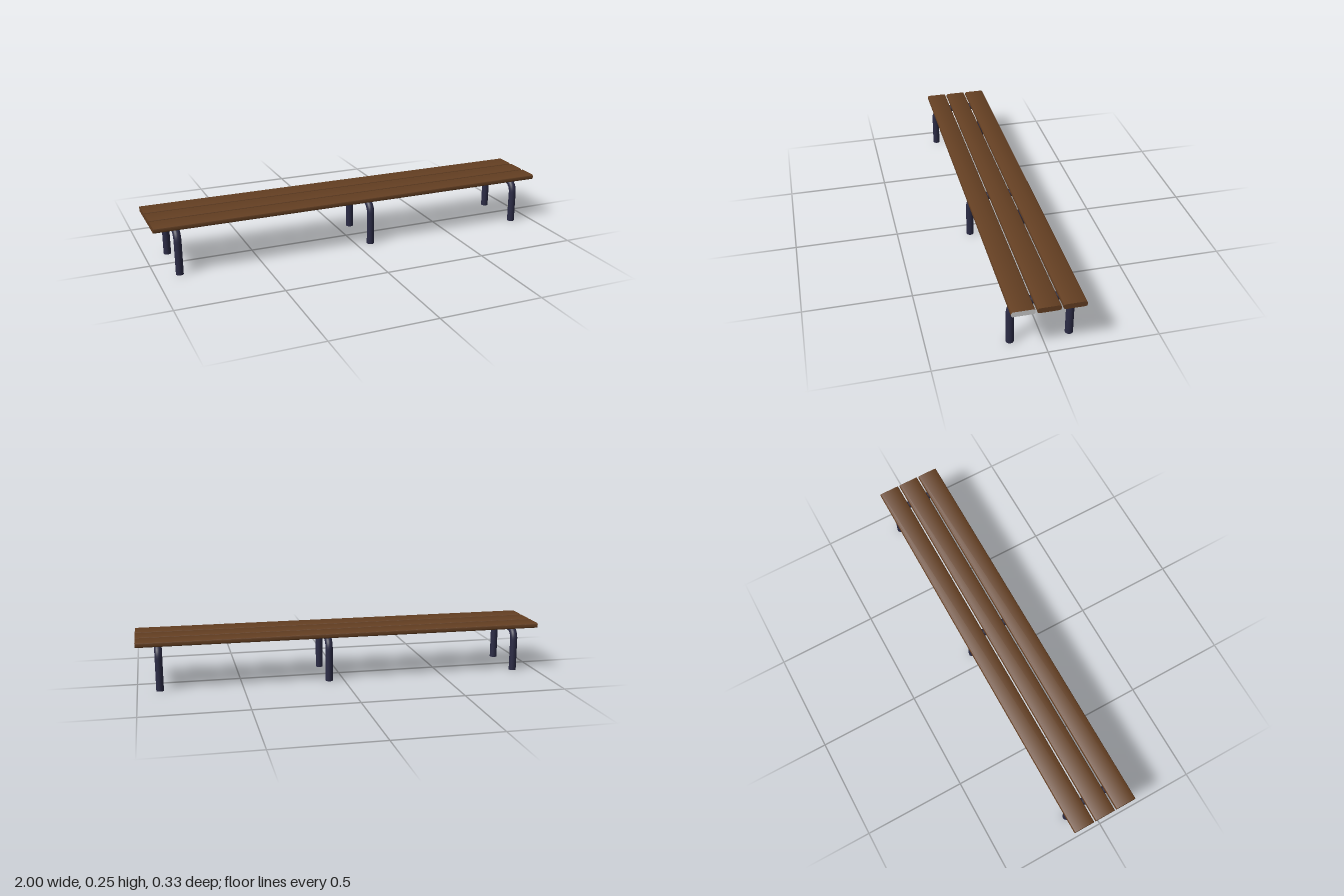
import * as THREE from 'three';
import { toCreasedNormals } from 'three/addons/utils/BufferGeometryUtils.js';

const wood = new THREE.MeshStandardMaterial({ color: 0x643f22 });
const bare = new THREE.MeshStandardMaterial({ color: 0xcccccc });
const steel = new THREE.MeshStandardMaterial({ color: 0x2b2b45 });

// Plank: rounded cross-section extruded along x
function plankGeometry(length, width, height, r) {
  const w = width / 2, h = height / 2;
  const s = new THREE.Shape();
  s.moveTo(-w + r, -h);
  s.lineTo(w - r, -h);
  s.absarc(w - r, -h + r, r, -Math.PI / 2, 0);
  s.absarc(w - r, h - r, r, 0, Math.PI / 2);
  s.absarc(-w + r, h - r, r, Math.PI / 2, Math.PI);
  s.absarc(-w + r, -h + r, r, Math.PI, Math.PI * 1.5);
  const geo = new THREE.ExtrudeGeometry(s, { depth: length, bevelEnabled: false, curveSegments: 5 });
  geo.translate(0, 0, -length / 2);
  geo.rotateY(Math.PI / 2);
  return toCreasedNormals(geo, 0.6);
}

// Puts the underside and the left end into the second material group
function splitBareFaces(geo) {
  geo.clearGroups();
  const pos = geo.attributes.position;
  const tri = new THREE.Triangle(), n = new THREE.Vector3();
  for (let i = 0; i < pos.count; i += 3) {
    tri.setFromAttributeAndIndices(pos, i, i + 1, i + 2);
    tri.getNormal(n);
    geo.addGroup(i, 3, n.x > 0.9 || n.y < -0.9 ? 1 : 0);
  }
  return geo;
}

// Leg frame: one bent tube, foot to foot
function frameGeometry(radius, front, back, top, bend) {
  const v = (z, y) => new THREE.Vector3(0, y, z);
  const path = new THREE.CurvePath();
  const k = bend * 0.448; // handle distance from the corner for a round bend
  path.add(new THREE.LineCurve3(v(front, 0), v(front, top - bend)));
  path.add(new THREE.CubicBezierCurve3(v(front, top - bend), v(front, top - k), v(front - k, top), v(front - bend, top)));
  path.add(new THREE.LineCurve3(v(front - bend, top), v(back + bend, top)));
  path.add(new THREE.CubicBezierCurve3(v(back + bend, top), v(back + k, top), v(back, top - k), v(back, top - bend)));
  path.add(new THREE.LineCurve3(v(back, top - bend), v(back, 0)));
  return new THREE.TubeGeometry(path, 80, radius, 20);
}

export function createModel() {
  const bench = new THREE.Group();
  bench.name = 'bench';

  // Seat planks
  const names = ['backPlank', 'middlePlank', 'frontPlank'];
  names.forEach((name, i) => {
    const geo = plankGeometry(2, 0.104, 0.025, 0.01);
    const front = name === 'frontPlank';
    const plank = front
      ? new THREE.Mesh(splitBareFaces(geo), [wood, bare])
      : new THREE.Mesh(geo, wood);
    plank.name = name;
    plank.position.set(0, 0.2345, (i - 1) * 0.1115 + 0.001);
    bench.add(plank);
  });

  // Three leg frames with closed feet
  const radius = 0.018, front = 0.141, back = -0.124;
  const tube = frameGeometry(radius, front, back, 0.211, 0.052);
  const cap = new THREE.CircleGeometry(radius, 20).rotateX(Math.PI / 2);
  [['rightFrame', -0.89], ['middleFrame', 0.073], ['leftFrame', 0.894]].forEach(([name, x]) => {
    const frame = new THREE.Group();
    frame.name = name;
    frame.position.x = x;
    const legs = new THREE.Mesh(tube, steel);
    legs.name = 'bentTube';
    frame.add(legs);
    for (const z of [front, back]) {
      const foot = new THREE.Mesh(cap, steel);
      foot.name = 'footCap';
      foot.position.z = z;
      frame.add(foot);
    }
    bench.add(frame);
  });

  return bench;
}
